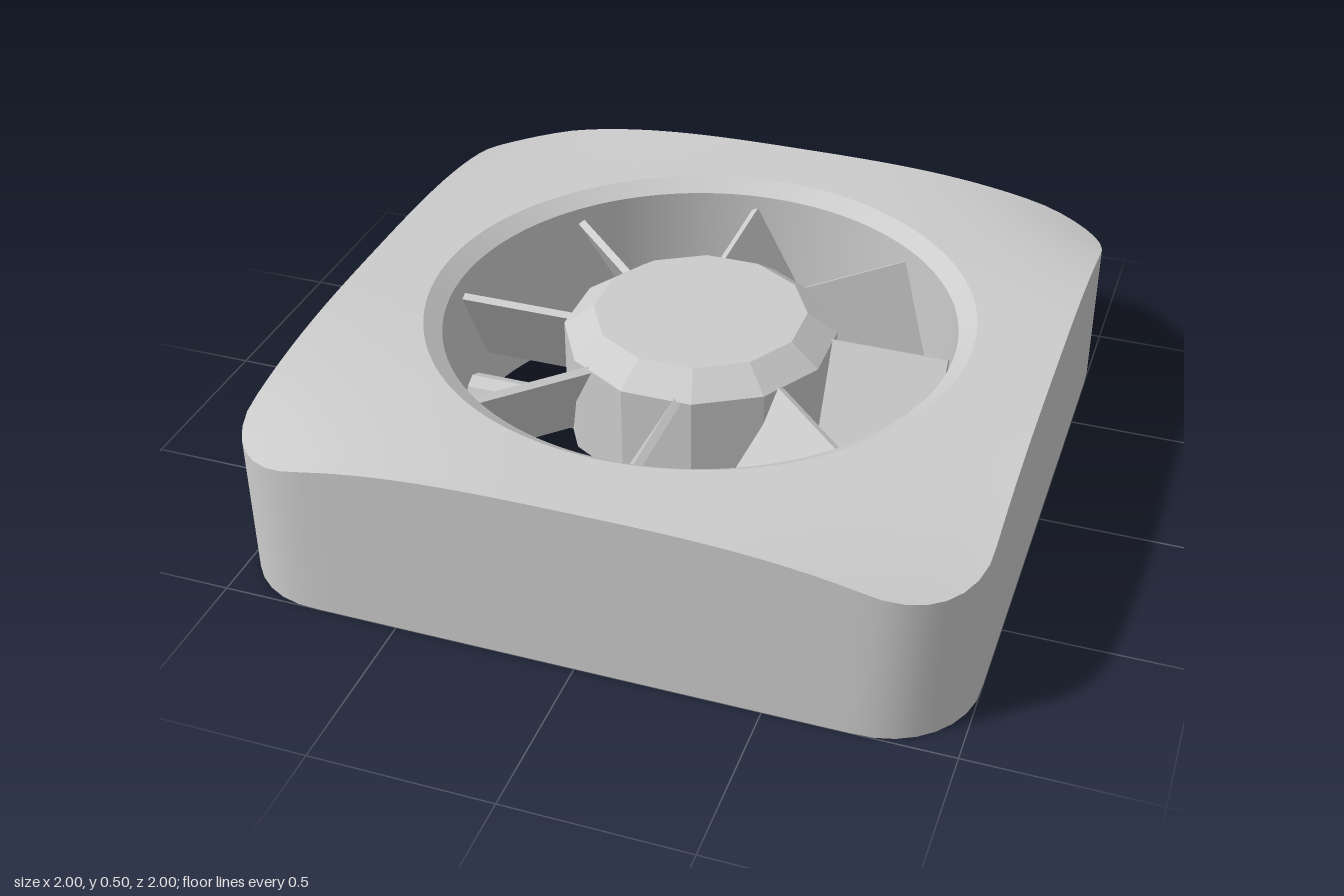
import * as THREE from 'three';
import { toCreasedNormals } from 'three/addons/utils/BufferGeometryUtils.js';

const BORE = 0.72, RIM = 0.77, CORNER = 0.25;

// distance from the centre to the rounded square outline along an angle
function outline(a) {
  const c = Math.abs(Math.cos(a)), s = Math.abs(Math.sin(a)), k = 1 - CORNER;
  const flat = 1 / Math.max(c, s);
  if (Math.min(c, s) * flat <= k) return flat;
  const b = k * (c + s);
  return b + Math.sqrt(b * b - 2 * k * k + CORNER * CORNER);
}

// top face sinks towards the four corners
const topHeight = (r, a) =>
  0.5 - 0.085 * Math.pow(Math.abs(r * r * Math.cos(a) * Math.sin(a)) / 0.865, 3);

// square housing with a chamfered round bore, swept as a closed section
function housingGeometry() {
  const N = 160, STEPS = 6, pos = [], index = [];
  let M = 0;
  for (let j = 0; j < N; j++) {
    const a = (j / N) * Math.PI * 2, R = outline(a);
    const section = [[BORE, 0], [R, 0]];
    for (let k = 0; k <= STEPS; k++) {
      const r = R + (RIM - R) * (k / STEPS);
      section.push([r, topHeight(r, a)]);
    }
    section.push([BORE, 0.465]);
    M = section.length;
    for (const [r, y] of section) pos.push(r * Math.cos(a), y, r * Math.sin(a));
  }
  for (let j = 0; j < N; j++) {
    for (let i = 0; i < M; i++) {
      const i2 = (i + 1) % M, j2 = (j + 1) % N;
      const A = j * M + i, B = j * M + i2, C = j2 * M + i, D = j2 * M + i2;
      index.push(A, B, C, B, D, C);
    }
  }
  const g = new THREE.BufferGeometry();
  g.setAttribute('position', new THREE.Float32BufferAttribute(pos, 3));
  g.setIndex(index);
  return toCreasedNormals(g, 0.5);
}

export function createModel() {
  const model = new THREE.Group();
  model.name = 'coolingFan';
  const smooth = new THREE.MeshStandardMaterial({ color: 0xcccccc });
  const faceted = new THREE.MeshStandardMaterial({ color: 0xcccccc, flatShading: true });
  const add = (name, geometry, material, parent = model) => {
    const mesh = new THREE.Mesh(geometry, material);
    mesh.name = name;
    parent.add(mesh);
    return mesh;
  };

  add('housing', housingGeometry(), smooth);

  // twelve-sided hub with a bevelled cap
  const rotor = new THREE.Group();
  rotor.name = 'rotor';
  model.add(rotor);
  const profile = [[0, 0.14], [0.385, 0.14], [0.385, 0.43], [0.3, 0.49], [0, 0.49]]
    .map(([r, y]) => new THREE.Vector2(r, y));
  add('hub', new THREE.LatheGeometry(profile, 12, Math.PI / 12), faceted, rotor);

  // eight pitched blades
  for (let i = 0; i < 8; i++) {
    const arm = new THREE.Group();
    arm.name = 'bladeArm';
    arm.rotation.y = (i * Math.PI) / 4;
    rotor.add(arm);
    const blade = add('blade', new THREE.BoxGeometry(0.35, 0.306, 0.022), faceted, arm);
    blade.position.set(0.525, 0.295, 0.012);
    blade.rotation.x = -0.49;
  }

  // shaft and the four struts that carry it across the underside
  add('shaft', new THREE.CylinderGeometry(0.035, 0.035, 0.14, 16), smooth)
    .position.y = 0.09;
  add('strutBoss', new THREE.CylinderGeometry(0.072, 0.072, 0.1, 16), smooth)
    .position.y = 0.055;
  for (let i = 0; i < 4; i++) {
    const arm = new THREE.Group();
    arm.name = 'strutArm';
    arm.rotation.y = (i * Math.PI) / 2;
    model.add(arm);
    const strut = add('strut', new THREE.CylinderGeometry(0.055, 0.055, 0.73, 8), faceted, arm);
    strut.rotation.z = Math.PI / 2;
    strut.position.set(0.365, 0.06, 0);
  }
  return model;
}
